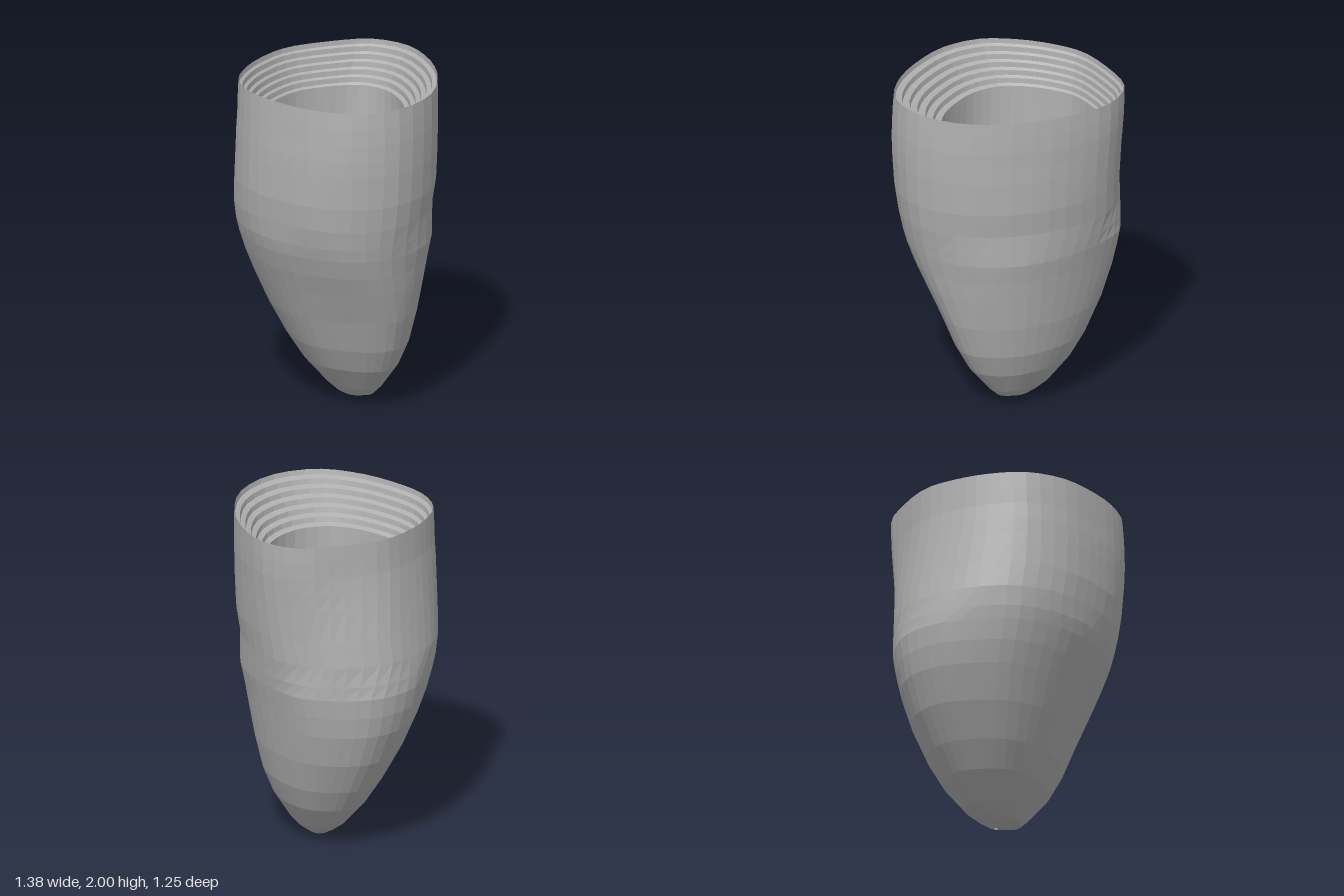
import * as THREE from 'three';

const SEGMENTS = 42;

// Plan outlines as [x, z], running from the left side (+x) round the front
const RIM = [[.68, .1], [.6, .37], [.4, .52], [.15, .6], [-.1, .62], [-.32, .54], [-.46, .38], [-.55, .2],
  [-.6, -.02], [-.54, -.29], [-.43, -.52], [-.22, -.62], [.05, -.58], [.33, -.44], [.58, -.2]];
const DENT = [[.66, .1], [.58, .35], [.4, .51], [.15, .6], [-.1, .62], [-.33, .54], [-.5, .37], [-.6, .16],
  [-.64, -.06], [-.56, -.32], [-.43, -.47], [-.23, -.57], [.05, -.55], [.33, -.425], [.56, -.2]];
const BULGE = [[.61, .1], [.54, .31], [.37, .45], [.14, .55], [-.1, .57], [-.35, .5], [-.53, .33], [-.67, .11],
  [-.69, -.13], [-.58, -.34], [-.42, -.49], [-.2, -.53], [.07, -.505], [.33, -.4], [.53, -.2]];
const BASE = [[.61, .02], [.53, .24], [.35, .41], [.13, .54], [-.1, .57], [-.35, .5], [-.53, .33], [-.67, .11],
  [-.69, -.13], [-.58, -.34], [-.42, -.48], [-.2, -.53], [.07, -.505], [.33, -.4], [.53, -.2]];

// Smooth closed outline scaled to 0..1 on both axes
function unitOutline(points) {
  const curve = new THREE.CatmullRomCurve3(points.map(([x, z]) => new THREE.Vector3(x, 0, z)), true);
  const pts = Array.from({ length: SEGMENTS }, (_, i) => curve.getPoint(i / SEGMENTS));
  const box = new THREE.Box3().setFromPoints(pts);
  const size = box.getSize(new THREE.Vector3());
  return pts.map(p => [(p.x - box.min.x) / size.x, (p.z - box.min.z) / size.z]);
}

const base = unitOutline(BASE), bulge = unitOutline(BULGE), dent = unitOutline(DENT), rim = unitOutline(RIM);
const mix = (a, b, t) => a.map((p, i) => [p[0] + (b[i][0] - p[0]) * t, p[1] + (b[i][1] - p[1]) * t]);

// Outline blend for a height on the wall
function outlineAt(y) {
  if (y <= 1.05) return mix(base, bulge, THREE.MathUtils.smoothstep(y, 0.5, 1.05));
  if (y < 1.25) return mix(bulge, dent, (y - 1.05) / 0.2);
  return mix(dent, rim, THREE.MathUtils.smoothstep(y, 1.3, 1.9));
}

// Loft through levels [y, xMin, xMax, zMin, zMax]
function loft(levels) {
  const pos = [], index = [];
  for (const [y, x0, x1, z0, z1] of levels)
    for (const [u, v] of outlineAt(y)) pos.push(x0 + u * (x1 - x0), y, z0 + v * (z1 - z0));
  for (let k = 0; k < levels.length - 1; k++)
    for (let i = 0; i < SEGMENTS; i++) {
      const a = k * SEGMENTS + i, b = k * SEGMENTS + (i + 1) % SEGMENTS;
      const c = a + SEGMENTS, d = b + SEGMENTS;
      index.push(a, c, b, b, c, d);
    }
  const geo = new THREE.BufferGeometry();
  geo.setAttribute('position', new THREE.Float32BufferAttribute(pos, 3));
  geo.setIndex(index);
  geo.computeVertexNormals();
  return geo;
}

export function createModel() {
  const group = new THREE.Group();
  group.name = 'steppedCup';
  const grey = new THREE.MeshStandardMaterial({ color: 0xb0b0b0, side: THREE.DoubleSide, flatShading: true });
  grey.name = 'grey';

  const add = (name, levels) => {
    const mesh = new THREE.Mesh(loft(levels), grey);
    mesh.name = name;
    group.add(mesh);
  };

  // Outer wall from the rounded base up to the rim
  add('outerWall', [
    [0, -.01, .01, -.09, -.07], [.02, -.07, .08, -.13, -.02], [.05, -.125, .17, -.17, .03],
    [.1, -.2, .225, -.22, .08], [.25, -.345, .35, -.32, .205], [.4, -.45, .43, -.385, .295],
    [.6, -.565, .5, -.44, .39], [.8, -.645, .555, -.48, .475], [.93, -.675, .585, -.505, .53],
    [1.05, -.69, .613, -.53, .575], [1.13, -.685, .63, -.543, .598], [1.25, -.672, .655, -.56, .617],
    [1.4, -.65, .677, -.58, .63], [1.6, -.622, .69, -.6, .63], [1.7, -.61, .692, -.61, .628],
    [1.8, -.6, .692, -.62, .622], [1.9, -.597, .687, -.624, .618], [2, -.595, .68, -.624, .612]]);

  // Stepped lip: rings shrinking inward, each a sloped tread and a steep riser
  const STEPS = 6, lip = [];
  const ring = (s, y) => [y, -.595 + .085 * s, .68 - .29 * s, -.624 + .154 * s, .612 - .197 * s];
  for (let k = 0; k < STEPS; k++) {
    const y = 2 - .25 * k / STEPS;
    lip.push(ring(k / STEPS, y), ring((k + .15) / STEPS, y - .03));
  }
  lip.push(ring(1, 1.75));
  add('steppedLip', lip);

  // Hollow inside, nearly upright and then following the base
  add('innerWall', [
    ring(1, 1.75), [1.4, -.51, .388, -.46, .413], [.95, -.495, .386, -.435, .405], [.6, -.45, .38, -.4, .355],
    [.42, -.39, .36, -.36, .285], [.3, -.32, .315, -.32, .215], [.19, -.235, .25, -.27, .13],
    [.12, -.15, .19, -.215, .06], [.07, -.07, .09, -.15, -.02], [.05, -.005, .005, -.085, -.075]]);
  return group;
}
